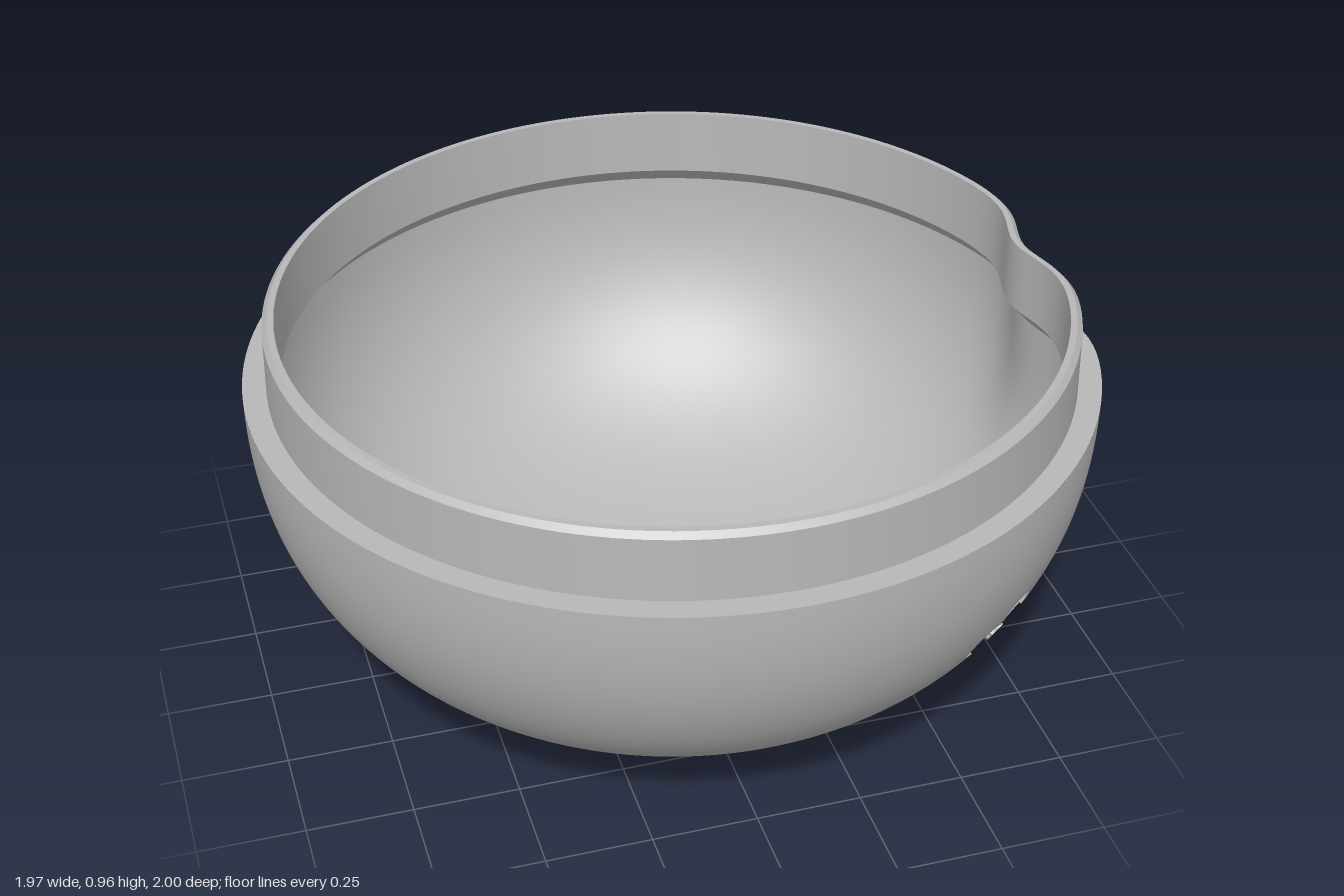
import * as THREE from 'three';
import { toCreasedNormals } from 'three/addons/utils/BufferGeometryUtils.js';

const CX = 0.015, H = 0.8, P = 2.34, PETALS = 5, RECESS = 0.016;
const STEP = Math.PI / 180; // one-degree grid of the outer skin
const HALF = 12; // half width of the window left open for a flower, in cells
const rad = THREE.MathUtils.degToRad;

// Pushes a point of radius r inward at the soft notch on the +x side
function notched(az, r, y) {
  const d = Math.atan2(Math.sin(az - Math.PI / 2), Math.cos(az - Math.PI / 2)) / 0.107;
  const rr = r - 0.062 * THREE.MathUtils.smoothstep(y, 0.3, 0.78) * Math.exp(-d * d / 2);
  return new THREE.Vector3(CX + rr * Math.sin(az), y, rr * Math.cos(az));
}

// Outer skin: azimuth from +z towards +x, psi from the bottom pole to the rim
function skin(az, psi) {
  const r = Math.pow(Math.max(0, Math.sin(psi)), 2 / P);
  const y = H - H * Math.pow(Math.max(0, Math.cos(psi)), 2 / P);
  return notched(az, r, y);
}
function skinNormal(az, psi) {
  const e = 0.002, q = THREE.MathUtils.clamp(psi, 0.01, Math.PI / 2 - 0.01);
  const a = skin(az + e, q).sub(skin(az - e, q));
  const b = skin(az, q + e).sub(skin(az, q - e));
  return a.cross(b).normalize();
}

// Grid mesh whose points are [azimuth, psi, depth below the skin]
function sheet(nu, nv, at, skip = () => false) {
  const pos = [], nor = [], idx = [];
  for (let j = 0; j <= nv; j++) for (let i = 0; i <= nu; i++) {
    const [az, psi, depth] = at(i, j);
    const n = skinNormal(az, psi);
    pos.push(...skin(az, psi).addScaledVector(n, -depth).toArray());
    nor.push(...n.toArray());
  }
  for (let j = 0; j < nv; j++) for (let i = 0; i < nu; i++) {
    if (skip(i, j)) continue;
    const a = j * (nu + 1) + i, c = a + nu + 1;
    idx.push(a, a + 1, c + 1, a, c + 1, c);
  }
  const g = new THREE.BufferGeometry();
  g.setAttribute('position', new THREE.Float32BufferAttribute(pos, 3));
  g.setAttribute('normal', new THREE.Float32BufferAttribute(nor, 3));
  g.setIndex(idx);
  return g;
}

// Angle from the middle of the nearest petal
function petalAngle(theta, rot) {
  const s = 2 * Math.PI / PETALS;
  return theta - rot - Math.round((theta - rot) / s) * s;
}
function flowerRadius(theta, rot) {
  const d = petalAngle(theta, rot), c = 0.085, r = 0.052;
  return c * Math.cos(d) + Math.sqrt(Math.max(0, r * r - (c * Math.sin(d)) ** 2));
}
function bossRadius(theta, rot) {
  return 0.028 - 0.009 * Math.abs(petalAngle(theta, rot)) / (Math.PI / PETALS);
}

// Flower: azimuth and turn in degrees, height y
function makeFlower([azDeg, y, turn]) {
  const az0 = rad(azDeg), rot = rad(turn);
  const psi0 = Math.acos(Math.pow((H - y) / H, P / 2));
  const ci = Math.round(az0 / STEP), cj = Math.round(psi0 / STEP);
  const ku = Math.pow(Math.sin(psi0), 2 / P);
  const kv = skin(az0, psi0 + 0.01).distanceTo(skin(az0, psi0 - 0.01)) / 0.02;
  const side = HALF * 2, n = side * 4;

  // Walk counter-clockwise round the edge of the window, one grid point at a time
  const edge = (i) => {
    const s = Math.floor(i / side) % 4, t = i % side - HALF;
    const [u, v] = [[HALF, t], [-t, HALF], [-HALF, -t], [t, -HALF]][s];
    return [(ci + u) * STEP, (cj + v) * STEP];
  };
  const theta = (i) => {
    const [a, p] = edge(i);
    return Math.atan2((p - psi0) * kv, (a - az0) * ku);
  };
  const local = (t, r, depth) => [az0 + r * Math.cos(t) / ku, psi0 + r * Math.sin(t) / kv, depth];
  const outline = (i) => flowerRadius(theta(i), rot);
  const boss = (i) => bossRadius(theta(i), rot);

  const surround = sheet(n, 5, (i, j) => {
    const [a, p] = edge(i), k = j / 5;
    const [fa, fp] = local(theta(i), outline(i), 0);
    return [a + (fa - a) * k, p + (fp - p) * k, 0];
  });
  const wall = (radius, from, to) => {
    const g = sheet(n, 1, (i, j) => local(theta(i), radius(i), j ? to : from)).toNonIndexed();
    g.computeVertexNormals();
    return g;
  };
  const floor = sheet(n, 4, (i, j) =>
    local(theta(i), outline(i) + (boss(i) - outline(i)) * j / 4, RECESS));
  const bossTop = sheet(n, 1, (i, j) => local(theta(i), j ? 0 : boss(i), 0));
  return {
    window: [ci, cj],
    parts: {
      flowerSurround: surround,
      flowerWall: wall(outline, 0, RECESS),
      flowerFloor: floor,
      flowerCentreWall: wall(boss, RECESS, 0),
      flowerCentre: bossTop,
    },
  };
}

export function createModel() {
  const model = new THREE.Group();
  model.name = 'bowl';
  const grey = new THREE.MeshStandardMaterial({ color: 0xb8b8b8 });
  grey.name = 'grey';
  const add = (parent, name, geometry) => {
    const mesh = new THREE.Mesh(geometry, grey);
    mesh.name = name;
    parent.add(mesh);
  };

  // Engraved flowers
  const flowers = [
    [38.4, 0.385, 86], [66, 0.48, 62], [126, 0.455, 54], [180, 0.525, 98], [270, 0.38, 90],
  ].map(makeFlower);
  flowers.forEach(({ parts }, k) => {
    const group = new THREE.Group();
    group.name = 'flower' + (k + 1);
    for (const name in parts) add(group, name, parts[name]);
    model.add(group);
  });

  // Outer skin with open windows for the flowers
  const inWindow = (i, j) => flowers.some(({ window: [ci, cj] }) =>
    i >= ci - HALF && i < ci + HALF && j >= cj - HALF && j < cj + HALF);
  add(model, 'outerShell', sheet(360, 90, (i, j) => [i * STEP, j * STEP, 0], inWindow));

  // Shoulder, neck, lip, undercut and lining in one turned profile
  const profile = [
    [1, H], [0.945, H], [0.942, 0.952], [0.929, 0.965], [0.914, 0.965], [0.912, H],
  ].map(([r, y]) => new THREE.Vector2(r, y));
  for (let k = 0; k <= 36; k++) {
    const a = (1 - k / 36) * rad(88);
    profile.push(new THREE.Vector2(0.95 * Math.pow(Math.sin(a), 2 / P),
      H - 0.75 * Math.pow(Math.cos(a), 2 / P)));
  }
  const inner = new THREE.LatheGeometry(profile, 180);
  const pos = inner.attributes.position;
  for (let i = 0; i < pos.count; i++) {
    const x = pos.getX(i), z = pos.getZ(i);
    const p = notched(Math.atan2(x, z), Math.hypot(x, z), pos.getY(i));
    pos.setXYZ(i, p.x, p.y, p.z);
  }
  add(model, 'neckAndLining', toCreasedNormals(inner, rad(22)));

  return model;
}
